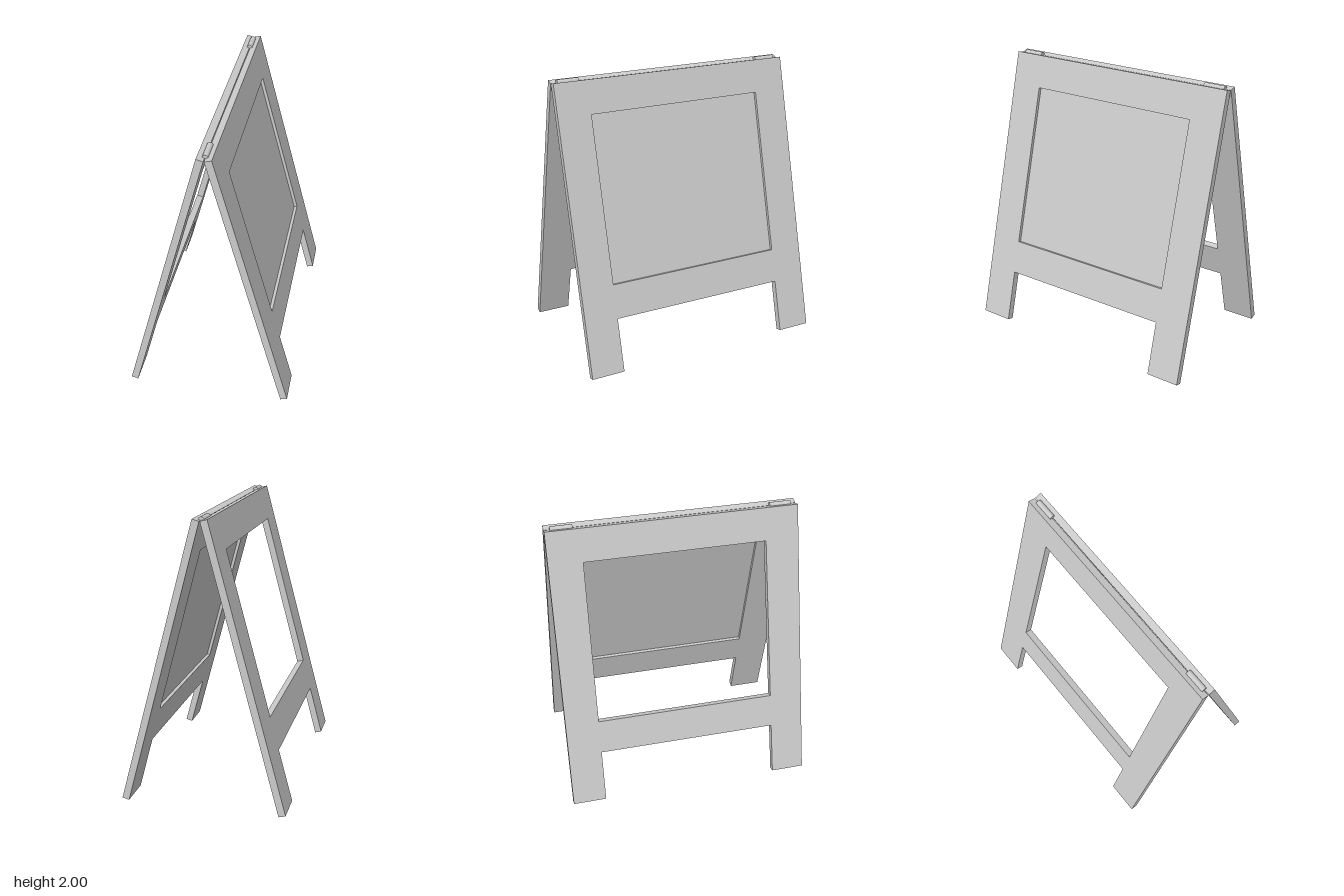
import * as THREE from 'three';

const material = new THREE.MeshStandardMaterial({ color: 0xcccccc });
const TILT = THREE.MathUtils.degToRad(15);
const LENGTH = 2.047;      // board length along the slope
const THICK = 0.05;
const HALF = 0.8875;       // half width of a board
const INNER = 0.6475;      // half width of the opening
const LEG = 0.383;         // height of the cut-out between the legs
const OPEN_LOW = 0.627, OPEN_HIGH = 1.811;

const points = (list) => list.map(([x, y]) => new THREE.Vector2(x, y));

function makeMesh(name, geometry) {
  const mesh = new THREE.Mesh(geometry, material);
  mesh.name = name;
  return mesh;
}

// Frame outline with two legs and a rectangular opening
function frameGeometry() {
  const shape = new THREE.Shape(points([
    [-HALF, 0], [-INNER, 0], [-INNER, LEG], [INNER, LEG],
    [INNER, 0], [HALF, 0], [HALF, LENGTH], [-HALF, LENGTH],
  ]));
  shape.holes.push(new THREE.Path(points([
    [-INNER, OPEN_LOW], [-INNER, OPEN_HIGH], [INNER, OPEN_HIGH], [INNER, OPEN_LOW],
  ])));
  return new THREE.ExtrudeGeometry(shape, { depth: THICK, bevelEnabled: false });
}

// One leaning board; side is +1 for left, -1 for right
function makeBoard(name, side, withPanel) {
  const board = new THREE.Group();
  board.name = name;
  board.rotation.y = side * Math.PI / 2;
  board.position.x = side * LENGTH * Math.sin(TILT) + side * 0.002;

  const leaning = new THREE.Group();
  leaning.name = name + 'Leaning';
  leaning.rotation.x = -TILT;
  leaning.add(makeMesh('frame', frameGeometry()));

  // Thin sign panel set halfway into the opening
  if (withPanel) {
    const panel = makeMesh('signPanel',
      new THREE.BoxGeometry(INNER * 2, OPEN_HIGH - OPEN_LOW, 0.004));
    panel.position.set(0, (OPEN_LOW + OPEN_HIGH) / 2, THICK / 2);
    leaning.add(panel);
  }
  board.add(leaning);
  return board;
}

export function createModel() {
  const model = new THREE.Group();
  model.name = 'foldingSign';
  model.add(makeBoard('leftBoard', 1, true), makeBoard('rightBoard', -1, false));

  // Hinge barrels on the top ridge
  for (const side of [1, -1]) {
    const hinge = makeMesh(side > 0 ? 'frontHinge' : 'backHinge',
      new THREE.CylinderGeometry(0.02, 0.02, 0.153, 16));
    hinge.rotation.x = Math.PI / 2;
    hinge.position.set(0, 1.98, side * 0.77);
    model.add(hinge);
  }
  return model;
}
